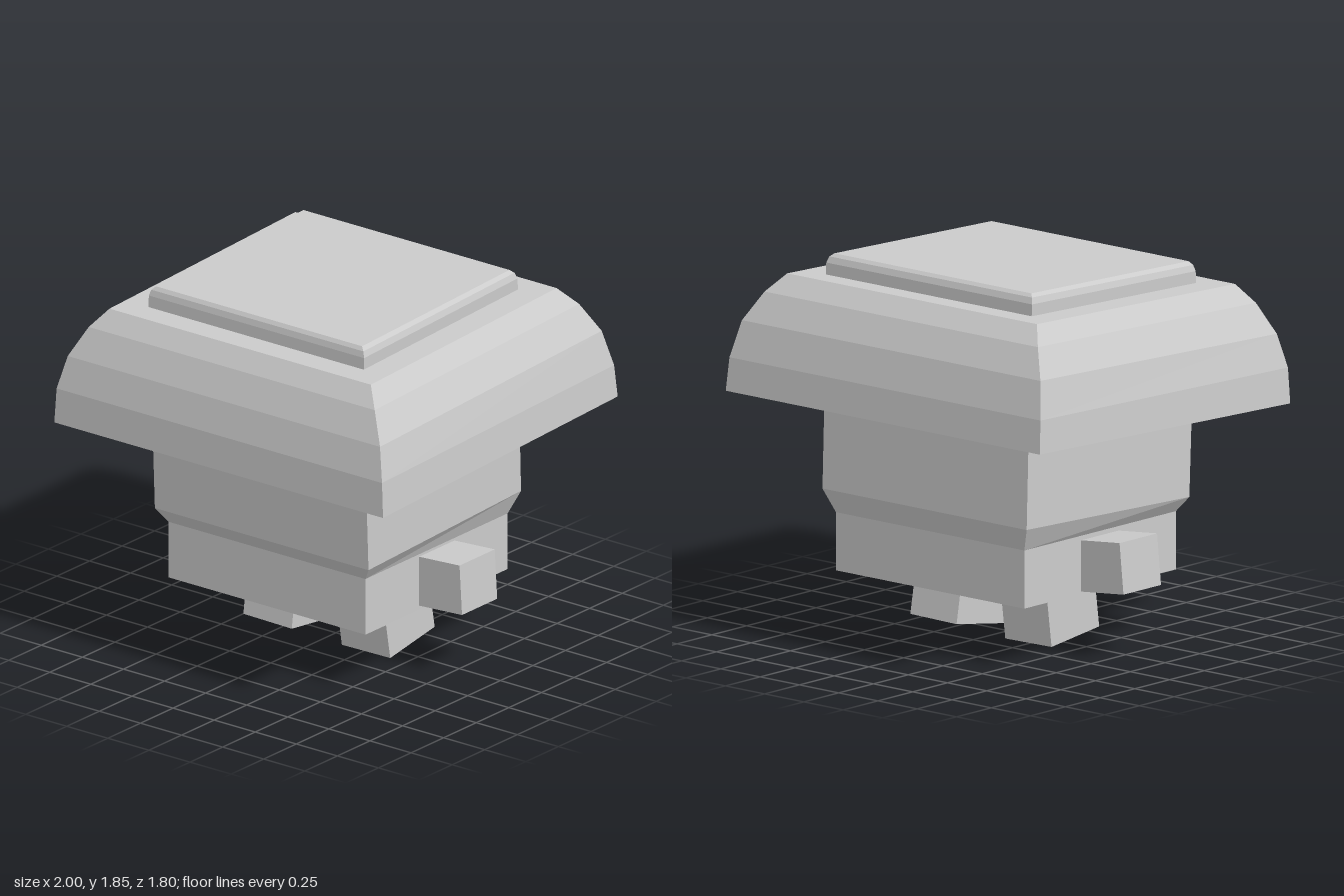
import * as THREE from 'three';

const material = new THREE.MeshStandardMaterial({ color: 0xcccccc, flatShading: true });

// Closed loft through rectangular, tilted rings: [halfWidth, frontZ, frontY, backZ, backY]
function loft(name, rings) {
  const corners = rings.map(([w, fz, fy, bz, by]) => [[-w, fy, fz], [w, fy, fz], [w, by, bz], [-w, by, bz]]);
  const pos = [];
  const quad = (a, b, c, d) => pos.push(...a, ...b, ...c, ...a, ...c, ...d);
  for (let r = 0; r < corners.length - 1; r++) {
    const lo = corners[r], hi = corners[r + 1];
    for (let i = 0; i < 4; i++) {
      const j = (i + 1) % 4;
      quad(lo[i], lo[j], hi[j], hi[i]);
    }
  }
  const [b0, b1, b2, b3] = corners[0];
  quad(b3, b2, b1, b0);
  quad(...corners[corners.length - 1]);
  const geo = new THREE.BufferGeometry();
  geo.setAttribute('position', new THREE.Float32BufferAttribute(pos, 3));
  geo.computeVertexNormals();
  const mesh = new THREE.Mesh(geo, material);
  mesh.name = name;
  return mesh;
}

function box(name, size, position, rx, rz) {
  const mesh = new THREE.Mesh(new THREE.BoxGeometry(...size), material);
  mesh.name = name;
  mesh.position.set(...position);
  mesh.rotation.set(rx, 0, rz);
  return mesh;
}

export function createModel() {
  const group = new THREE.Group();

  // Square body flaring into a tilted neck
  group.add(loft('body', [
    [0.6, 0.53, 0.3, -0.56, 0.3],
    [0.6, 0.53, 0.585, -0.56, 0.585],
    [0.65, 0.57, 0.655, -0.6, 0.7],
    [0.65, 0.59, 1.13, -0.585, 1.18],
  ]));

  // Domed cap, tilted slightly forward
  group.add(loft('cap', [
    [1, 0.9, 1.11, -0.9, 1.177],
    [0.99, 0.895, 1.285, -0.885, 1.34],
    [0.95, 0.86, 1.45, -0.84, 1.52],
    [0.87, 0.8, 1.6, -0.768, 1.66],
    [0.795, 0.735, 1.692, -0.69, 1.747],
  ]));

  // Raised plate with rounded rim
  group.add(loft('topPlate', [
    [0.655, 0.613, 1.68, -0.57, 1.725],
    [0.655, 0.61, 1.755, -0.567, 1.8],
    [0.645, 0.603, 1.785, -0.556, 1.83],
    [0.627, 0.59, 1.803, -0.54, 1.845],
  ]));

  // Stubby arms, raised a little
  group.add(box('leftArm', [0.3, 0.25, 0.27], [0.703, 0.453, -0.017], 0, 0.06));
  group.add(box('rightArm', [0.3, 0.25, 0.27], [-0.708, 0.448, -0.017], 0, -0.1));

  // Legs in mid-step
  group.add(box('leftLeg', [0.295, 0.28, 0.345], [0.264, 0.167, -0.043], 0.16, 0.015));
  group.add(box('rightLeg', [0.295, 0.28, 0.345], [-0.266, 0.169, -0.001], -0.117, -0.015));

  return group;
}
